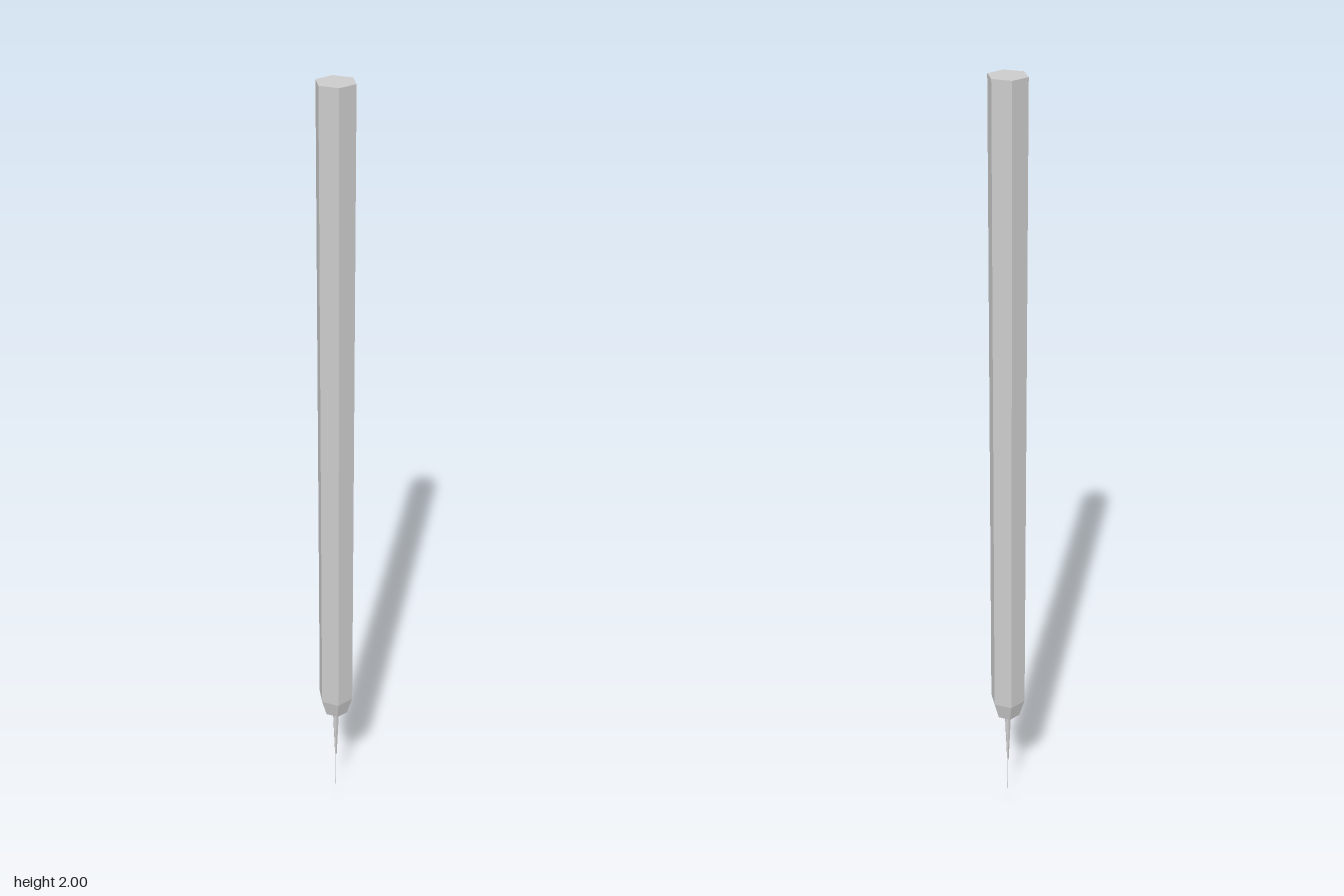
import * as THREE from 'three';

export function createModel() {
  const group = new THREE.Group();
  const material = new THREE.MeshStandardMaterial({ color: 0xcccccc, flatShading: true });

  // Adds a six-sided section between two heights, corners on the z axis
  function addSection(name, yTop, yBottom, rTop, rBottom, open = false) {
    const geometry = new THREE.CylinderGeometry(rTop, rBottom, yTop - yBottom, 6, 1, open);
    const mesh = new THREE.Mesh(geometry, material);
    mesh.name = name;
    mesh.position.y = (yTop + yBottom) / 2;
    group.add(mesh);
  }

  // Outer hexagonal body: long barrel, bevelled collar, closed ends
  const profile = [[0, 0.3], [0.032, 0.3], [0.0465, 0.35], [0.0465, 2], [0, 2]];
  const body = new THREE.Mesh(
    new THREE.LatheGeometry(profile.map(([r, y]) => new THREE.Vector2(r, y)), 6),
    material
  );
  body.name = 'barrel';
  group.add(body);

  // Tapered shaft and the hair-thin needle below it
  addSection('needleShaft', 0.3, 0.145, 0.009, 0.0025);
  addSection('needleTip', 0.145, 0, 0.001, 0.0003);

  return group;
}
